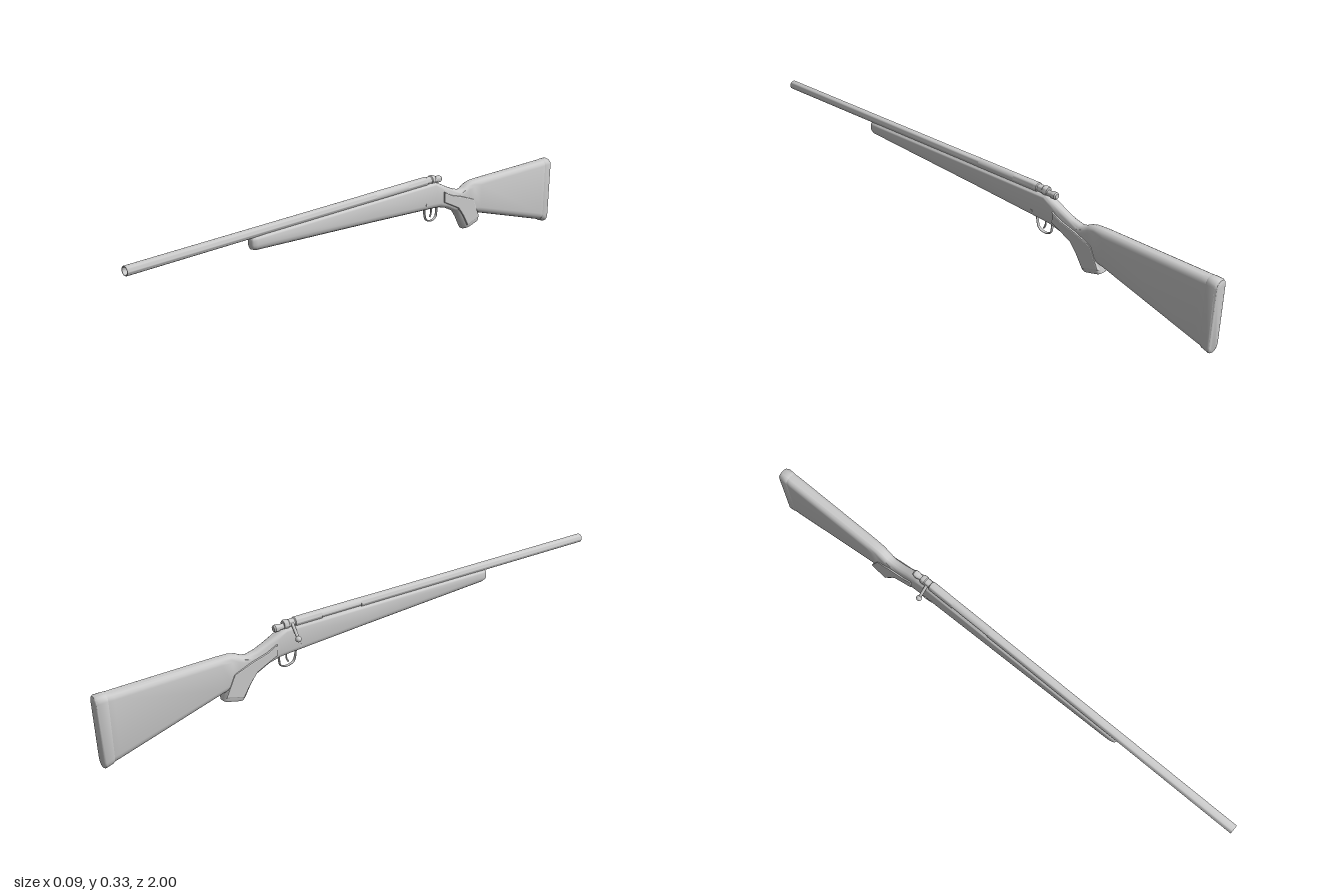
import * as THREE from 'three';
import { toCreasedNormals } from 'three/addons/utils/BufferGeometryUtils.js';

const grey = new THREE.MeshStandardMaterial({ color: 0xcccccc });
const thin = new THREE.MeshStandardMaterial({ color: 0xcccccc, side: THREE.DoubleSide });
const AXIS = 0.31; // height of the barrel axis

function add(group, name, geometry, material = grey) {
  const mesh = new THREE.Mesh(geometry, material);
  mesh.name = name;
  group.add(mesh);
  return mesh;
}

// Loft through flat-sided, round-ended sections.
// Station: [zA, yA, zB, yB, halfWidth, capA, capB]; A and B are the section's two ends.
function loft(stations, steps = 8) {
  const pos = [], index = [];
  const n = 2 * (steps + 1);
  const rings = stations.map(([za, ya, zb, yb, w, capA, capB]) => {
    const len = Math.hypot(za - zb, ya - yb);
    const ring = [];
    for (let half = 0; half < 2; half++) {
      for (let i = 0; i <= steps; i++) {
        const t = Math.PI * (half + i / steps);
        const cap = Math.min(half ? capB : capA, len / 2);
        const s = (half ? cap : len - cap) + Math.sin(t) * cap; // distance from B
        const k = s / len;
        ring.push([Math.cos(t) * w, yb + (ya - yb) * k, zb + (za - zb) * k]);
      }
    }
    return ring;
  });
  rings.forEach((ring) => ring.forEach((p) => pos.push(...p)));
  for (let r = 0; r < rings.length - 1; r++) {
    for (let j = 0; j < n; j++) {
      const a = r * n + j, b = r * n + (j + 1) % n;
      index.push(a, a + n, b, b, a + n, b + n);
    }
  }
  const last = (rings.length - 1) * n;
  for (let j = 1; j < n - 1; j++) {
    index.push(0, j, j + 1);
    index.push(last, last + j + 1, last + j);
  }
  const g = new THREE.BufferGeometry();
  g.setAttribute('position', new THREE.Float32BufferAttribute(pos, 3));
  g.setIndex(index);
  return toCreasedNormals(g, 0.7);
}

// Turned part along z; profile points are [radius, z].
function turned(profile, y = AXIS) {
  const points = profile.map(([r, z]) => new THREE.Vector2(r, z));
  const g = new THREE.LatheGeometry(points, 32);
  g.rotateX(Math.PI / 2);
  g.translate(0, y, 0);
  return toCreasedNormals(g, 0.6);
}

// Side outline in [z, y], extruded across x and centred on it.
function sidePlate(outline, width, bevel) {
  const shape = new THREE.Shape(outline.map(([z, y]) => new THREE.Vector2(z, y)));
  const depth = width - 2 * bevel;
  const g = new THREE.ExtrudeGeometry(shape, {
    depth, bevelEnabled: bevel > 0, bevelThickness: bevel, bevelSize: bevel, bevelOffset: -bevel, bevelSegments: 2,
  });
  g.translate(0, 0, -depth / 2);
  g.rotateY(-Math.PI / 2);
  return g;
}

export function createModel() {
  const rifle = new THREE.Group();
  rifle.name = 'rifle';
  rifle.position.x = 0.015;

  // Stock: fore-end, wrist and butt; rows are [z, top, bottom, halfWidth, topCap, bottomCap]
  const stockRows = [
    [0.534, 0.292, 0.264, 0.008, 0.01, 0.012],
    [0.529, 0.298, 0.257, 0.014, 0.012, 0.016],
    [0.515, 0.301, 0.252, 0.018, 0.012, 0.02],
    [0.48, 0.302, 0.25, 0.0195, 0.012, 0.022],
    [0, 0.302, 0.222, 0.0205, 0.012, 0.022],
    [-0.32, 0.302, 0.202, 0.021, 0.012, 0.02],
    [-0.35, 0.29, 0.199, 0.021, 0.018, 0.02],
    [-0.39, 0.27, 0.188, 0.02, 0.02, 0.02],
    [-0.43, 0.252, 0.168, 0.02, 0.02, 0.02],
    [-0.465, 0.243, 0.152, 0.02, 0.02, 0.02],
    [-0.485, 0.246, 0.148, 0.021, 0.02, 0.02],
    [-0.505, 0.257, 0.145, 0.022, 0.022, 0.02],
    [-0.53, 0.263, 0.14, 0.0235, 0.022, 0.022],
    [-0.57, 0.264, 0.13, 0.0245, 0.022, 0.024],
    [-0.94, 0.26, 0.018, 0.026, 0.022, 0.028],
    [-0.96, 0.26, 0.012, 0.0245, 0.022, 0.028],
  ];
  add(rifle, 'stock', loft(stockRows.map(([z, t, b, ...rest]) => [z, t, z, b, ...rest])));

  // Recoil pad closing the butt
  add(rifle, 'recoilPad', loft([
    [-0.96, 0.26, -0.957, 0.012, 0.0245, 0.022, 0.028],
    [-0.966, 0.261, -0.962, 0.008, 0.026, 0.022, 0.028],
    [-0.992, 0.26, -0.986, 0, 0.026, 0.022, 0.028],
    [-0.998, 0.257, -0.991, 0.003, 0.023, 0.022, 0.026],
    [-1, 0.252, -0.993, 0.008, 0.018, 0.02, 0.024],
  ]));

  // Pistol grip, back edge first
  add(rifle, 'grip', loft([
    [-0.5, 0.24, -0.36, 0.205, 0.019, 0.02, 0.02],
    [-0.53, 0.195, -0.43, 0.172, 0.023, 0.012, 0.028],
    [-0.55, 0.155, -0.457, 0.135, 0.024, 0.01, 0.03],
    [-0.564, 0.113, -0.48, 0.093, 0.023, 0.01, 0.03],
    [-0.565, 0.106, -0.486, 0.086, 0.02, 0.01, 0.028],
  ]));

  // Raised grip panel, showing on both sides
  add(rifle, 'gripPanel', sidePlate([
    [-0.362, 0.258], [-0.4, 0.238], [-0.455, 0.222], [-0.525, 0.196], [-0.56, 0.12],
    [-0.494, 0.102], [-0.468, 0.145], [-0.44, 0.18], [-0.4, 0.2], [-0.362, 0.218],
  ], 0.053, 0.004));

  // Barrel with hollow muzzle, running into the receiver ring
  add(rifle, 'barrel', turned([
    [0, -0.02], [0.0165, -0.02], [0.016, 0.05], [0.016, 0.998], [0.015, 1], [0.0125, 1], [0.012, 0.998], [0.012, 0.9], [0, 0.9],
  ]));

  // Receiver shell, open on the bolt-handle side for the port
  const port = new THREE.CylinderGeometry(0.0165, 0.0165, 0.16, 24, 1, true, -0.1, Math.PI * 1.45);
  port.rotateX(Math.PI / 2);
  port.translate(0, AXIS, -0.1);
  add(rifle, 'receiverPort', port, thin);
  add(rifle, 'receiverRear', turned([[0, -0.27], [0.0165, -0.27], [0.0165, -0.18], [0, -0.18]]));

  // Bolt body, collars and rear shroud
  add(rifle, 'bolt', turned([[0, -0.3], [0.013, -0.3], [0.013, -0.01], [0, -0.01]]));
  add(rifle, 'boltCollar', turned([
    [0, -0.325], [0.014, -0.325], [0.016, -0.32], [0.016, -0.308], [0.0135, -0.305],
    [0.0135, -0.285], [0.0165, -0.282], [0.0165, -0.27], [0, -0.27],
  ]));
  add(rifle, 'boltShroud', turned([
    [0, -0.362], [0.009, -0.362], [0.0125, -0.357], [0.0125, -0.342], [0.01, -0.338], [0.01, -0.32], [0, -0.32],
  ], 0.305));

  // Bolt handle with ball knob
  const root = new THREE.Vector3(-0.008, AXIS + 0.002, -0.295);
  const knob = new THREE.Vector3(-0.05, 0.27, -0.297);
  const bend = new THREE.Vector3(-0.024, 0.3, -0.296);
  add(rifle, 'boltHandle', new THREE.TubeGeometry(new THREE.QuadraticBezierCurve3(root, bend, knob), 10, 0.0055, 12));
  add(rifle, 'boltKnob', new THREE.SphereGeometry(0.0105, 20, 14)).position.copy(knob);

  // Trigger guard: a U-shaped strap under the stock
  const guardPath = new THREE.CatmullRomCurve3([
    [-0.278, 0.212], [-0.281, 0.185], [-0.288, 0.166], [-0.305, 0.157], [-0.325, 0.157], [-0.34, 0.166], [-0.344, 0.185], [-0.346, 0.208],
  ].map(([z, y]) => new THREE.Vector3(0, y, z)));
  const guard = new THREE.TubeGeometry(guardPath, 28, 0.0028, 8);
  guard.scale(2, 1, 1);
  add(rifle, 'triggerGuard', guard);

  // Trigger
  const triggerPath = new THREE.QuadraticBezierCurve3(
    new THREE.Vector3(0, 0.21, -0.312), new THREE.Vector3(0, 0.188, -0.322), new THREE.Vector3(0, 0.17, -0.308));
  add(rifle, 'trigger', new THREE.TubeGeometry(triggerPath, 10, 0.003, 8));

  // Cross pin through the stock
  const pin = new THREE.CylinderGeometry(0.005, 0.005, 0.044, 14);
  pin.rotateZ(Math.PI / 2);
  pin.translate(0, 0.228, -0.27);
  add(rifle, 'crossPin', pin);

  const model = new THREE.Group();
  model.name = 'model';
  model.add(rifle);
  return model;
}
